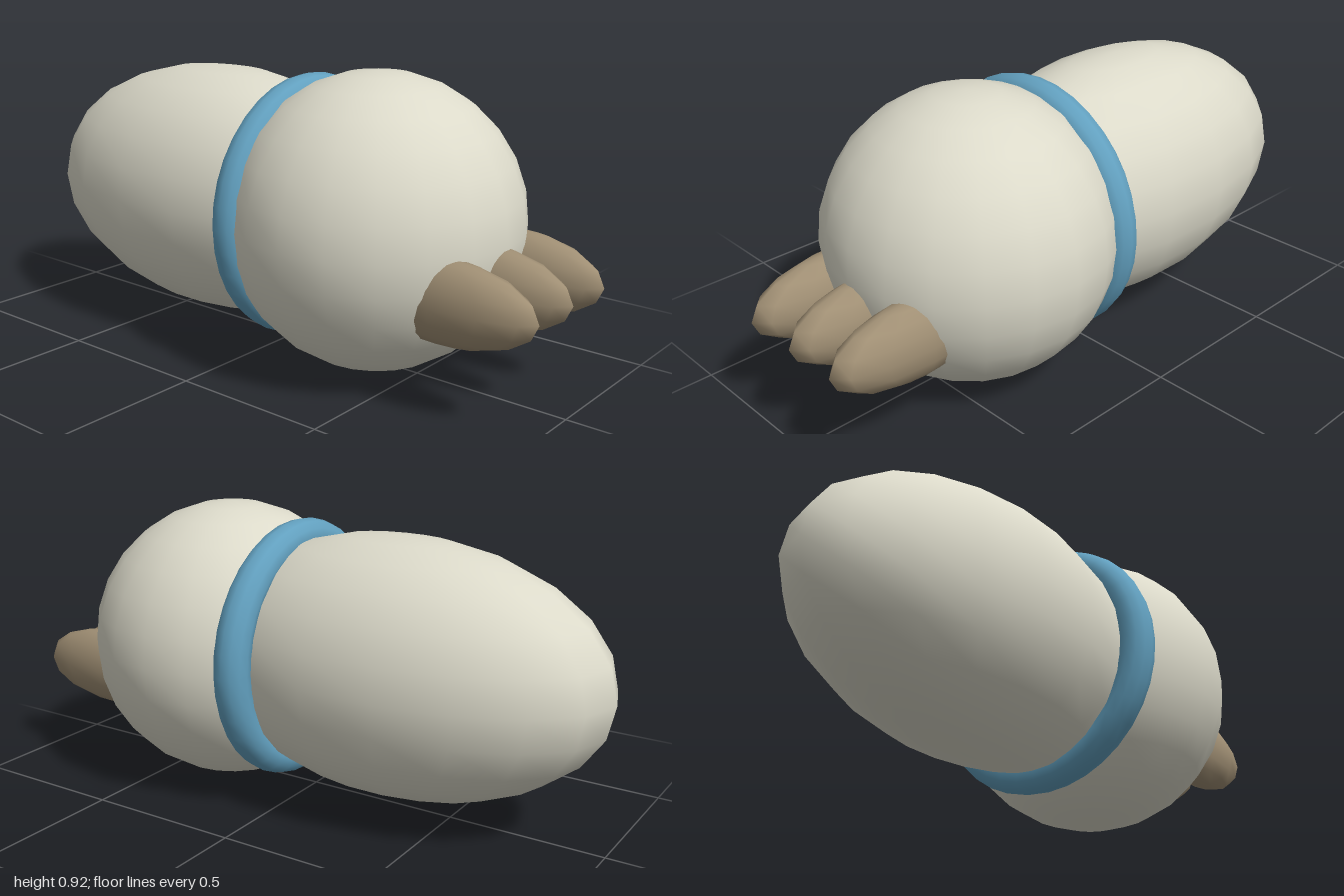
import * as THREE from 'three';

const fur = new THREE.MeshStandardMaterial({ name: 'paleFur', color: 0xdcdaca });
const horn = new THREE.MeshStandardMaterial({ name: 'brownHorn', color: 0xa08f74 });
const blue = new THREE.MeshStandardMaterial({ name: 'blueBand', color: 0x62a0bf });

// Smooth ellipsoid with the given radii, centre and side counts
function ellipsoid(name, material, radii, centre, around, rings) {
  const geometry = new THREE.SphereGeometry(1, around, rings);
  geometry.rotateY(Math.PI / 2); // puts a meridian on the front and back tips
  geometry.scale(...radii);
  const mesh = new THREE.Mesh(geometry, material);
  mesh.name = name;
  mesh.position.set(...centre);
  return mesh;
}

export function createModel() {
  const model = new THREE.Group();
  model.name = 'pawArm';

  // Round paw and long forearm
  model.add(ellipsoid('paw', fur, [0.46, 0.46, 0.46], [0, 0.46, 0.333], 20, 14));
  model.add(ellipsoid('forearm', fur, [0.378, 0.41, 0.7], [0, 0.465, -0.3], 18, 12));

  // Band around the wrist
  const band = new THREE.Mesh(new THREE.TorusGeometry(0.363, 0.057, 12, 36), blue);
  band.name = 'wristBand';
  band.position.set(0, 0.465, 0.067);
  model.add(band);

  // Three blunt claws
  const claws = new THREE.Group();
  claws.name = 'claws';
  ['rightClaw', 'middleClaw', 'leftClaw'].forEach((name, i) => {
    claws.add(ellipsoid(name, horn, [0.086, 0.126, 0.295], [(i - 1) * 0.19, 0.336, 0.705], 12, 8));
  });
  model.add(claws);

  return model;
}
